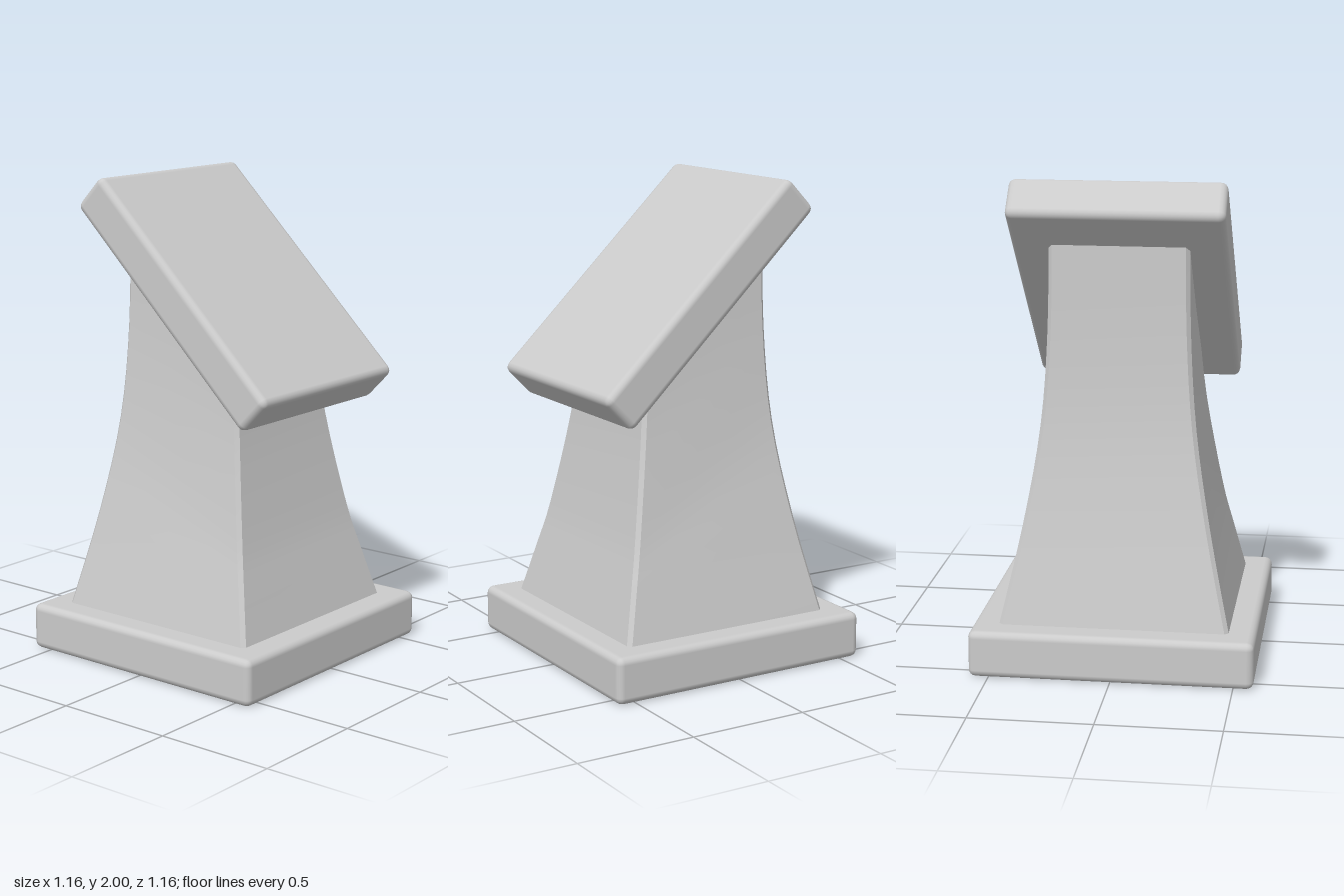
import * as THREE from 'three';
import { RoundedBoxGeometry } from 'three/addons/geometries/RoundedBoxGeometry.js';
import { toCreasedNormals } from 'three/addons/utils/BufferGeometryUtils.js';

const material = new THREE.MeshStandardMaterial({ color: 0xcccccc });

function addMesh(parent, name, geometry) {
  const mesh = new THREE.Mesh(geometry, material);
  mesh.name = name;
  parent.add(mesh);
  return mesh;
}

// Flared square column: half-width against height, for the tall and short sides
const profile = (points) => new THREE.SplineCurve(points.map(([h, y]) => new THREE.Vector2(h, y)));
const tallSide = profile([[0.475, 0.18], [0.384, 0.6], [0.319, 1], [0.291, 1.4], [0.284, 1.86]]);
const shortSide = profile([[0.475, 0.18], [0.42, 0.4], [0.373, 0.6], [0.305, 1], [0.273, 1.32]]);

function columnGeometry() {
  const rows = 16, bevel = 0.016, positions = [], indices = [];
  // corners run anticlockwise seen from above, each cut by a small bevel
  const corners = [[1, 1], [1, -1], [-1, -1], [-1, 1]];
  for (let i = 0; i <= rows; i++) {
    for (const [sx, sz] of corners) {
      const p = (sx > 0 ? shortSide : tallSide).getPoint(i / rows);
      const cutX = [sx * (p.x - bevel), p.y, sz * p.x];
      const cutZ = [sx * p.x, p.y, sz * (p.x - bevel)];
      positions.push(...(sx * sz > 0 ? [...cutX, ...cutZ] : [...cutZ, ...cutX]));
    }
  }
  for (let i = 0; i < rows; i++) {
    for (let j = 0; j < 8; j++) {
      const a = i * 8 + j, b = i * 8 + (j + 1) % 8;
      indices.push(a, b, b + 8, a, b + 8, a + 8);
    }
  }
  // close both ends
  const top = rows * 8;
  for (let j = 1; j < 7; j++) {
    indices.push(0, j + 1, j, top, top + j, top + j + 1);
  }
  const geometry = new THREE.BufferGeometry();
  geometry.setAttribute('position', new THREE.Float32BufferAttribute(positions, 3));
  geometry.setIndex(indices);
  return toCreasedNormals(geometry, 0.5);
}

export function createModel() {
  const group = new THREE.Group();
  group.name = 'lectern';

  // Square foot
  addMesh(group, 'base', new RoundedBoxGeometry(1.165, 0.195, 1.165, 2, 0.03)).position.y = 0.0975;

  // Column, its top hidden inside the sloping slab
  addMesh(group, 'column', columnGeometry());

  // Slanted top slab, low on the +x side
  const slab = addMesh(group, 'slantedTop', new RoundedBoxGeometry(1.19, 0.185, 0.875, 2, 0.03));
  slab.position.set(0.06, 1.535, 0);
  slab.rotation.z = -0.768;

  return group;
}
